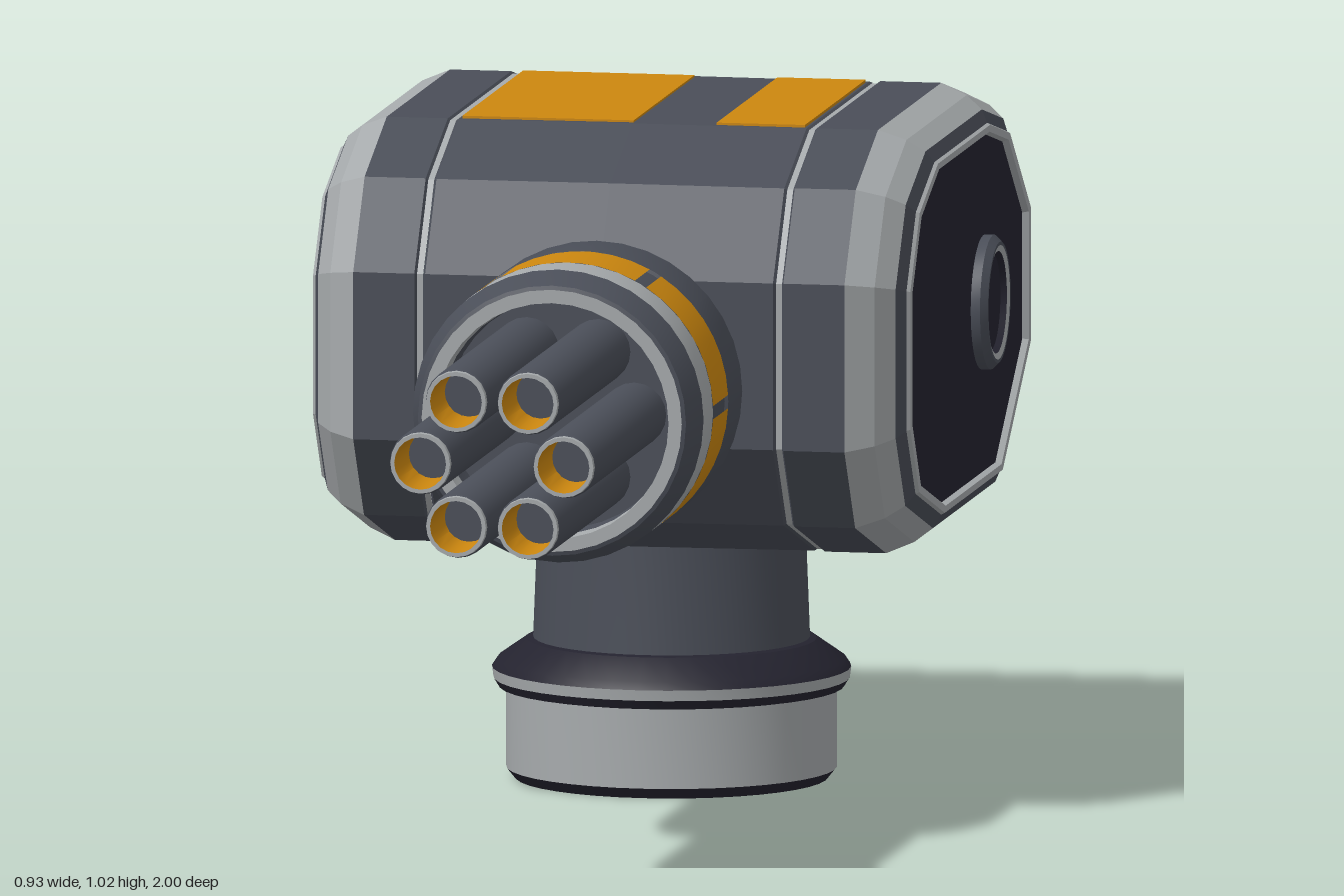
import * as THREE from 'three';
import { toCreasedNormals } from 'three/addons/utils/BufferGeometryUtils.js';

const paint = (name, color) => {
  const m = new THREE.MeshStandardMaterial({ color, side: THREE.DoubleSide });
  m.name = name;
  return m;
};

export function createModel() {
  const hull = paint('hull grey', 0x4a4e58);
  const light = paint('light metal', 0xa6aaac);
  const dark = paint('dark panel', 0x24232f);
  const orange = paint('orange', 0xcc870f);

  const model = new THREE.Group();
  model.name = 'turret';

  const add = (parent, name, geometry, material) => {
    const mesh = new THREE.Mesh(geometry, material);
    mesh.name = name;
    parent.add(mesh);
    return mesh;
  };
  const group = (name, x, y, z, parent = model) => {
    const g = new THREE.Group();
    g.name = name;
    g.position.set(x, y, z);
    parent.add(g);
    return g;
  };
  // Turned part: profile points are [radius, height], going up on the outside
  const turn = (parent, name, material, points, segments = 36, start = 0, sweep = Math.PI * 2) =>
    add(parent, name, toCreasedNormals(new THREE.LatheGeometry(
      points.map(([r, h]) => new THREE.Vector2(r, h)), segments, start, sweep), 0.4), material);

  // Body: one side outline as [z, y], scaled along x
  const outline = [[0.155, 0.575], [0.155, 0.825], [0.065, 0.955], [-0.11, 1.02], [-0.61, 1.02],
    [-0.8, 0.978], [-1, 0.815], [-1, 0.575], [-0.73, 0.378], [-0.175, 0.378], [0.07, 0.45]];
  const CZ = -0.425, CY = 0.7;
  const section = (x, s) => outline.map(([z, y]) => [x, CY + (y - CY) * s, CZ + (z - CZ) * s]);
  const flat = (positions) => {
    const g = new THREE.BufferGeometry();
    g.setAttribute('position', new THREE.Float32BufferAttribute(positions, 3));
    g.computeVertexNormals();
    return g;
  };
  const loft = (stations) => {
    const p = [];
    for (let k = 0; k < stations.length - 1; k++) {
      const A = section(...stations[k]), B = section(...stations[k + 1]);
      A.forEach((a, i) => {
        const j = (i + 1) % A.length;
        p.push(...a, ...B[i], ...B[j], ...a, ...B[j], ...A[j]);
      });
    }
    return flat(p);
  };

  const body = group('body', 0, 0, 0);
  add(body, 'mainShell', loft([[-0.266, 0.988], [-0.262, 0.997], [0, 1], [0.262, 0.997], [0.266, 0.988]]), hull);
  for (const side of [1, -1]) {
    const name = side > 0 ? 'left' : 'right';
    const band = (part, material, stations) => add(body, name + part,
      loft(side > 0 ? stations : stations.map(([x, s]) => [-x, s]).reverse()), material);
    band('Seam', light, [[0.266, 0.99], [0.275, 0.99]]);
    band('EndShell', hull, [[0.275, 0.99], [0.278, 1], [0.37, 1]]);
    band('Bevel', light, [[0.37, 1], [0.41, 0.95], [0.435, 0.89]]);
    band('InnerBevel', hull, [[0.435, 0.89], [0.445, 0.833]]);
    band('PanelRim', light, [[0.445, 0.833], [0.45, 0.825], [0.45, 0.795], [0.44, 0.785]]);

    // Pivot hub
    const hub = group(name + 'Hub', side * 0.435, 0.7, -0.57);
    hub.rotation.z = -side * Math.PI / 2;
    turn(hub, 'hubRing', hull, [[0.1, 0], [0.1, 0.02], [0.09, 0.03], [0.085, 0.03]]);
    turn(hub, 'hubTrim', light, [[0.085, 0.03], [0.076, 0.027]]);
    turn(hub, 'hubDisc', side > 0 ? dark : hull, [[0.076, 0.027], [0.072, 0.018], [0, 0.018]]);
  }
  // Closed panel on the left; the right end is open
  const rim = section(0.441, 0.79), panel = [];
  rim.forEach((a, i) => panel.push(0.441, CY, CZ, ...rim[(i + 1) % rim.length], ...a));
  add(body, 'sidePanel', flat(panel), dark);

  // Painted roof plates
  for (const [x0, x1] of [[-0.258, 0], [0.125, 0.258]]) {
    const plate = add(body, 'roofPlate', new THREE.BoxGeometry(x1 - x0, 0.006, 0.48), orange);
    plate.position.set((x0 + x1) / 2, 1.02, -0.36);
  }

  // Pedestal
  const base = group('pedestal', 0, 0, -0.42);
  turn(base, 'baseFoot', dark, [[0.212, 0], [0.232, 0], [0.245, 0.016]], 40);
  turn(base, 'baseRing', light, [[0.245, 0.016], [0.245, 0.135]], 40);
  turn(base, 'baseGroove', dark, [[0.245, 0.135], [0.256, 0.137], [0.264, 0.15]], 40);
  turn(base, 'flangeTrim', light, [[0.264, 0.15], [0.266, 0.166]], 40);
  turn(base, 'flange', dark, [[0.266, 0.166], [0.258, 0.178], [0.215, 0.208], [0.205, 0.21]], 40);
  turn(base, 'column', hull, [[0.205, 0.21], [0.2, 0.34], [0.198, 0.42], [0.18, 0.42], [0.18, 0.36]], 40);
  turn(base, 'baseInnerWall', light, [[0.212, 0.1], [0.212, 0]], 40);
  turn(base, 'baseInnerStep', dark, [[0.165, 0.13], [0.165, 0.1], [0.212, 0.1]], 40);
  turn(base, 'baseInnerDisc', hull, [[0, 0.13], [0.165, 0.13]], 40);

  // Barrel housing, turned along z
  const housing = group('barrelHousing', 0, 0.665, 0);
  housing.rotation.x = Math.PI / 2;
  turn(housing, 'collar', light, [[0.205, 0.05], [0.205, 0.115], [0.213, 0.155]]);
  turn(housing, 'housingShell', hull, [[0.213, 0.155], [0.219, 0.17], [0.219, 0.28], [0.214, 0.282],
    [0.214, 0.398], [0.219, 0.4]]);
  turn(housing, 'housingBand', light, [[0.219, 0.4], [0.219, 0.475]]);
  turn(housing, 'housingNose', hull, [[0.219, 0.475], [0.202, 0.525], [0.196, 0.527]]);
  turn(housing, 'noseRim', light, [[0.196, 0.527], [0.176, 0.527], [0.174, 0.49]]);
  turn(housing, 'noseRecess', hull, [[0.174, 0.49], [0.172, 0.44], [0, 0.44]]);
  // Six orange segments with narrow gaps between them
  const gap = 0.045;
  for (let i = 0; i < 6; i++) {
    turn(housing, 'orangeSegment', orange, [[0.219, 0.281], [0.219, 0.399]], 7,
      Math.PI / 2 + i * Math.PI / 3 + gap, Math.PI / 3 - 2 * gap);
  }

  // Six barrels in a ring
  for (let i = 0; i < 6; i++) {
    const a = i * Math.PI / 3;
    const barrel = group('barrel', 0.108 * Math.cos(a), 0.665 + 0.108 * Math.sin(a), 0);
    barrel.rotation.x = Math.PI / 2;
    turn(barrel, 'barrelTube', hull, [[0, -0.13], [0.048, -0.13], [0.048, 0.985], [0.046, 0.993]], 20);
    turn(barrel, 'muzzleRim', light, [[0.046, 0.993], [0.045, 1], [0.039, 1]], 20);
    turn(barrel, 'muzzleBore', orange, [[0.039, 1], [0.036, 0.9]], 20);
    turn(barrel, 'boreEnd', hull, [[0.036, 0.9], [0, 0.9]], 20);
  }
  return model;
}
